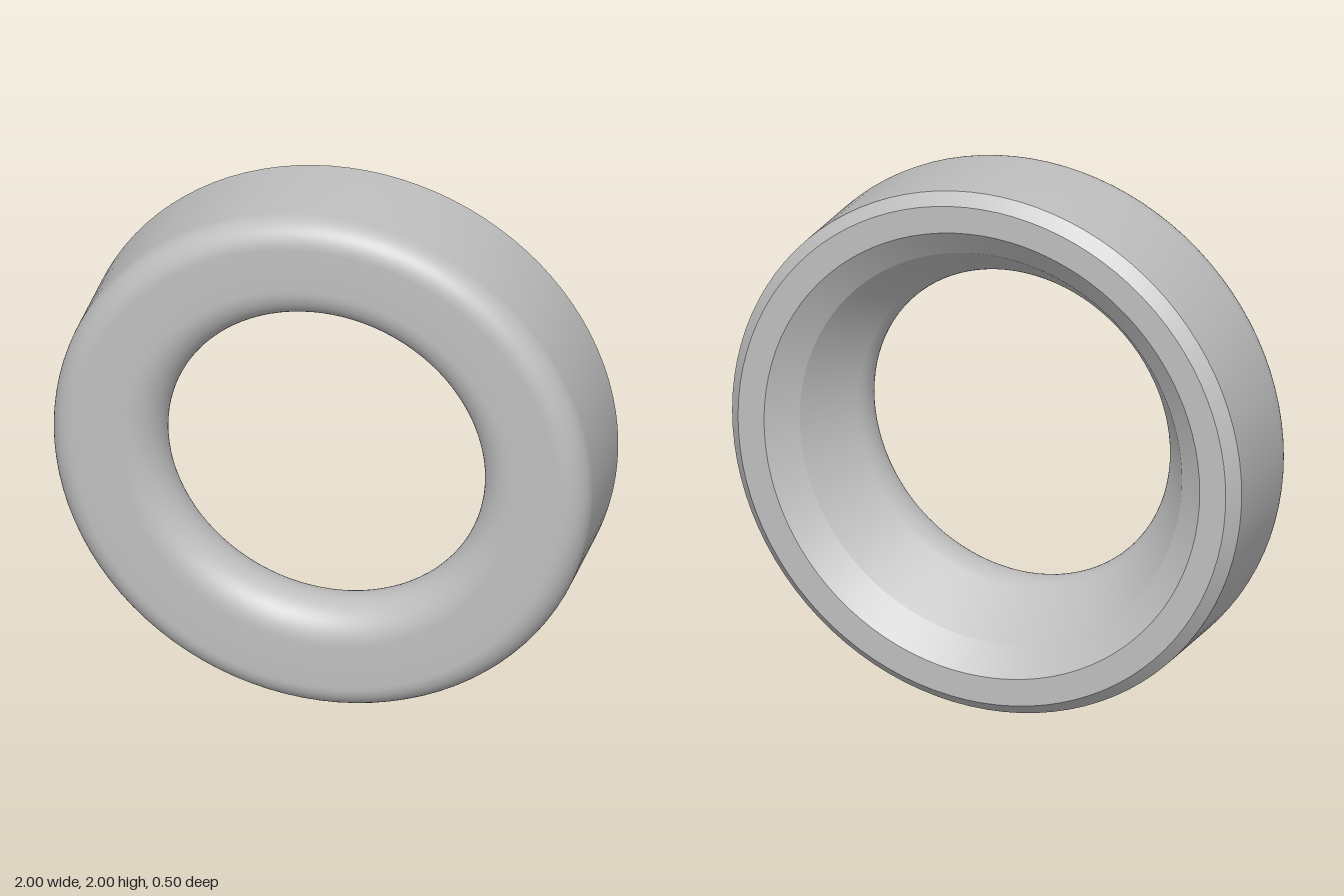
import * as THREE from 'three';
import { toCreasedNormals } from 'three/addons/utils/BufferGeometryUtils.js';

// Points (radius, depth) along an arc of the cross-section, angles in degrees
function arc(cr, cz, r, from, to, steps) {
  return Array.from({ length: steps + 1 }, (_, i) => {
    const a = THREE.MathUtils.degToRad(from + ((to - from) * i) / steps);
    return new THREE.Vector2(cr + r * Math.cos(a), cz + r * Math.sin(a));
  });
}

export function createModel() {
  const group = new THREE.Group();
  group.name = 'ringModel';

  const grey = new THREE.MeshStandardMaterial({ color: 0xbfbfbf });
  grey.name = 'grey';

  const p = (r, z) => new THREE.Vector2(r, z);
  const profile = [
    p(0.855, -0.25), // flat back rim
    p(0.957, -0.25),
    p(1, -0.205), // outer back chamfer
    ...arc(0.9, 0.15, 0.1, 0, 90, 12), // outer front fillet
    ...arc(0.733, 0.11, 0.14, 90, 213, 18), // rounded front lip of the bore
    p(0.75, -0.17), // flared bore
    p(0.855, -0.25), // inner back chamfer
  ];

  // Revolve the section and turn its axis to face the front
  const geometry = toCreasedNormals(new THREE.LatheGeometry(profile, 96), 0.3);
  geometry.rotateX(Math.PI / 2);

  const ring = new THREE.Mesh(geometry, grey);
  ring.name = 'ring';
  ring.position.y = 1;
  group.add(ring);
  return group;
}
